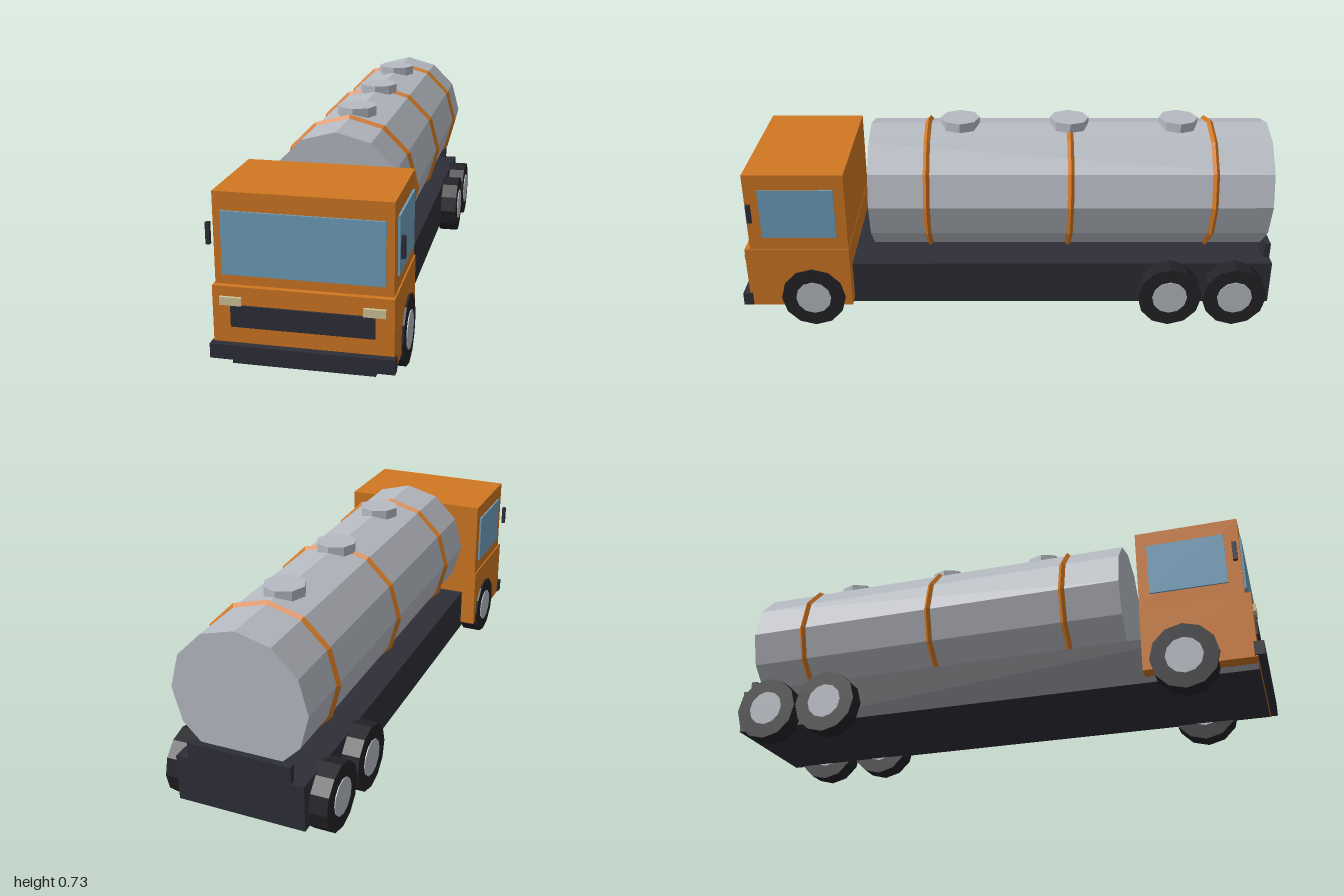
import * as THREE from 'three';

const material = (name, color, flat = true) => {
  const m = new THREE.MeshStandardMaterial({ color });
  m.name = name;
  m.flatShading = flat;
  return m;
};

export function createModel() {
  const truck = new THREE.Group();
  truck.name = 'tankerTruck';

  const orange = material('orange paint', 0xd07722);
  const steel = material('tank steel', 0xb6bac2);
  const dark = material('chassis dark', 0x2e2e38);
  const rubber = material('tyre rubber', 0x232328);
  const glass = material('window glass', 0x6fa0be);
  const lamp = material('headlight cream', 0xd0c59a);

  const add = (name, geometry, mat, x = 0, y = 0, z = 0) => {
    const mesh = new THREE.Mesh(geometry, mat);
    mesh.name = name;
    mesh.position.set(x, y, z);
    truck.add(mesh);
    return mesh;
  };
  // Box given by its limits on each axis
  const box = (name, mat, [x0, x1], [y0, y1], [z0, z1]) =>
    add(name, new THREE.BoxGeometry(x1 - x0, y1 - y0, z1 - z0), mat,
      (x0 + x1) / 2, (y0 + y1) / 2, (z0 + z1) / 2);
  // The same box on both sides
  const pair = (name, mat, [x0, x1], y, z) => {
    box(name + 'Left', mat, [x0, x1], y, z);
    box(name + 'Right', mat, [-x1, -x0], y, z);
  };

  // Chassis and rear stop
  box('chassis', dark, [-0.23, 0.23], [0.063, 0.23], [-1, 0.972]);
  box('rearStop', dark, [-0.185, 0.185], [0.22, 0.29], [-0.999, -0.976]);

  // Cab
  box('cabLower', orange, [-0.288, 0.288], [0.085, 0.325], [0.59, 0.975]);
  box('cabUpper', orange, [-0.283, 0.283], [0.32, 0.625], [0.591, 0.955]);
  box('windscreen', glass, [-0.258, 0.258], [0.358, 0.565], [0.953, 0.962]);
  pair('sideWindow', glass, [0.281, 0.29], [0.375, 0.567], [0.631, 0.904]);
  pair('mirror', dark, [0.3, 0.313], [0.447, 0.518], [0.93, 0.946]);
  box('grille', dark, [-0.229, 0.229], [0.193, 0.265], [0.97, 0.982]);
  pair('headlight', lamp, [0.192, 0.263], [0.265, 0.292], [0.97, 0.985]);
  box('frontBumper', dark, [-0.295, 0.295], [0.089, 0.138], [0.965, 1]);

  // Tank with hoops and hatches
  const tankY = 0.472;
  const tank = new THREE.CylinderGeometry(0.241, 0.241, 1.49, 12).rotateX(Math.PI / 2);
  add('tank', tank, steel, 0, tankY, -0.23);
  const hoop = new THREE.TorusGeometry(0.241, 0.012, 4, 12);
  for (const z of [0.3, -0.23, -0.76]) add('tankHoop', hoop, orange, 0, tankY, z);
  const hatch = new THREE.CylinderGeometry(0.073, 0.073, 0.035, 8);
  for (const z of [0.18, -0.23, -0.64]) add('hatch', hatch, steel, 0, 0.7165, z);

  // Wheels with hub caps
  const tyre = new THREE.CylinderGeometry(0.12, 0.12, 0.075, 12)
    .rotateX(Math.PI / 2).rotateY(Math.PI / 2);
  const hub = new THREE.CylinderGeometry(0.066, 0.066, 0.08, 12)
    .rotateX(Math.PI / 2).rotateY(Math.PI / 2);
  for (const z of [0.735, -0.61, -0.855]) {
    for (const side of [-1, 1]) {
      add('tyre', tyre, rubber, side * 0.2575, 0.12, z);
      add('hubCap', hub, steel, side * 0.2585, 0.12, z);
    }
  }
  return truck;
}
